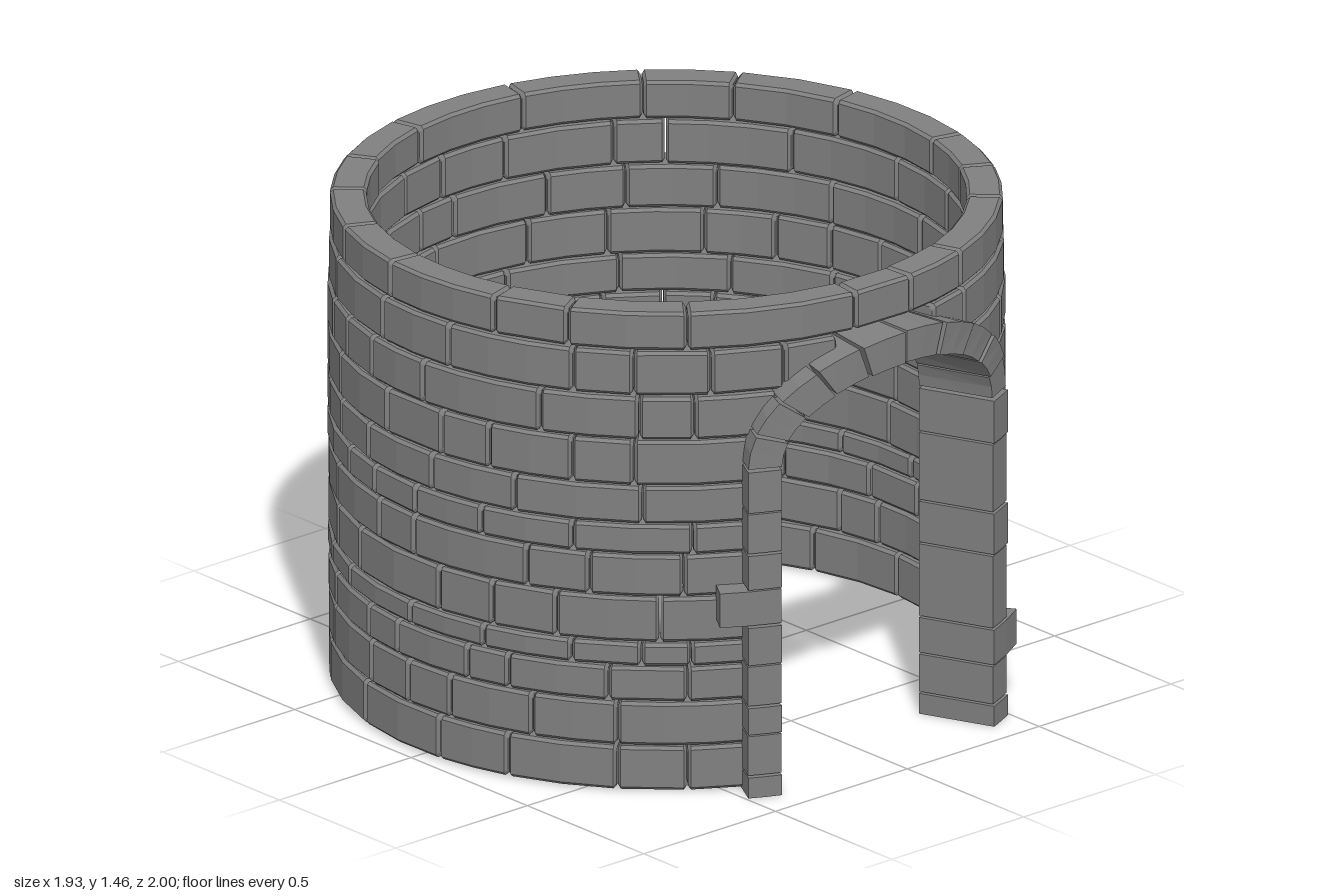
import * as THREE from 'three';
import { mergeGeometries } from 'three/addons/utils/BufferGeometryUtils.js';

const CENTER_Z = -0.035;          // axis of the round wall
const WALL_IN = 0.852, WALL_OUT = 0.965;
const DOOR_IN = 0.797, DOOR_OUT = 1.034;
const SPRING = 1.0;               // height where the arch begins
const OPEN_A = 0.4, FRAME_A = 0.496;   // half angles of opening and frame
const OPEN_H = 0.24, FRAME_H = 0.335;  // arch rise, inside and outside

// angle, height, radius -> point on the round wall
const polar = (a, y, r) => [r * Math.sin(a), y, r * Math.cos(a) + CENTER_Z];
const lerp = THREE.MathUtils.lerp;

function seeded(seed) {
  let s = seed;
  return () => (s = (s * 16807) % 2147483647) / 2147483647;
}

// Curved wall brick with chamfered edges, swept from angle a0 to a1
function wallBrick(a0, a1, y0, y1, r0, r1) {
  const b = 0.009, steps = Math.max(1, Math.round((a1 - a0) / 0.16));
  const section = (a, i) => {
    const [l, h, n, f] = [y0 + i, y1 - i, r0 + i, r1 - i];
    return [[h, n + b], [h, f - b], [h - b, f], [l + b, f], [l, f - b], [l, n + b], [l + b, n], [h - b, n]]
      .map(([y, r]) => polar(a, y, r));
  };
  const rings = [section(a0, b)];
  for (let k = 0; k <= steps; k++) rings.push(section(lerp(a0 + b, a1 - b, k / steps), 0));
  rings.push(section(a1, b));
  const pos = [];
  const tri = (...p) => p.forEach((v) => pos.push(...v));
  for (let k = 0; k < rings.length - 1; k++) {
    for (let i = 0; i < 8; i++) {
      const j = (i + 1) % 8, p = rings[k], q = rings[k + 1];
      tri(p[i], p[j], q[j]);
      tri(p[i], q[j], q[i]);
    }
  }
  const first = rings[0], last = rings[rings.length - 1];
  for (let i = 1; i < 7; i++) {
    tri(first[0], first[i + 1], first[i]);
    tri(last[0], last[i], last[i + 1]);
  }
  const g = new THREE.BufferGeometry();
  g.setAttribute('position', new THREE.Float32BufferAttribute(pos, 3));
  g.computeVertexNormals();
  return g;
}

// Box whose unit coordinates (0..1) are moved by a rule
function shapedBlock(rule) {
  const g = new THREE.BoxGeometry(1, 1, 1, 2, 1, 1).toNonIndexed();
  const p = g.attributes.position;
  for (let i = 0; i < p.count; i++) {
    p.setXYZ(i, ...rule(p.getX(i) + 0.5, p.getY(i) + 0.5, p.getZ(i) + 0.5));
  }
  g.computeVertexNormals();
  return g;
}

export function createModel() {
  const model = new THREE.Group();
  model.name = 'roundBrickTower';
  const stone = new THREE.MeshStandardMaterial({ color: 0x808080 });
  stone.name = 'grey stone';
  const add = (name, parts) => {
    const mesh = new THREE.Mesh(mergeGeometries(parts), stone);
    mesh.name = name;
    model.add(mesh);
  };

  // Wall courses: [bottom, top, half angle left open for the doorway]
  const courses = [
    [0.005, 0.137, 0.45], [0.142, 0.272, 0.45], [0.277, 0.38, 0.45], [0.385, 0.453, 0.45],
    [0.458, 0.593, 0.45], [0.598, 0.722, 0.45], [0.727, 0.815, 0.45], [0.82, 0.932, 0.45],
    [0.937, 1.072, 0.44], [1.077, 1.205, 0.388], [1.21, 1.342, 0.19], [1.347, 1.462, 0],
  ];
  const random = seeded(4711);
  courses.forEach(([y0, y1, open], c) => {
    const count = (y1 - y0 < 0.11 ? 21 : 19) - (c % 2);
    const widths = Array.from({ length: count }, () => 0.55 + random());
    const total = widths.reduce((s, w) => s + w, 0);
    const outer = c === courses.length - 1 ? 0.957 : WALL_OUT - 0.004 * random();
    const span = 2 * (Math.PI - open);
    let a = open || 0.09;
    const bricks = widths.map((w) => {
      const a0 = a;
      a += (w / total) * span;
      return wallBrick(a0 + 0.002, a - 0.002, y0, y1, WALL_IN + 0.008 * random(), outer);
    });
    add('wallCourse' + (c + 1), bricks);
  });

  // Door jambs: joint heights, and the index of the long brick tied into the wall
  const jambs = [
    { name: 'rightJamb', side: -1, long: 5, ys: [0, 0.068, 0.193, 0.28, 0.405, 0.525, 0.635, 0.745, 0.87, 1.0] },
    { name: 'leftJamb', side: 1, long: 2, ys: [0, 0.068, 0.188, 0.3, 0.525, 0.655, 0.865, 1.0] },
  ];
  for (const { name, side, long, ys } of jambs) {
    const blocks = ys.slice(0, -1).map((y, i) => {
      const far = i === long ? 0.575 : FRAME_A;
      const [a0, a1] = side > 0 ? [OPEN_A, far] : [-far, -OPEN_A];
      const inset = i % 2 ? 0.004 : 0;
      return shapedBlock((s, t, d) =>
        polar(lerp(a0, a1, s), lerp(y, ys[i + 1] - 0.006, t), lerp(DOOR_IN, DOOR_OUT - inset, d)));
    });
    add(name, blocks);
  }

  // Arch stones, five each side, bent around the wall
  const stones = 10, gap = 0.012, arch = [];
  for (let i = 0; i < stones; i++) {
    const t0 = Math.PI * (1 - i / stones) - gap, t1 = Math.PI * (1 - (i + 1) / stones) + gap;
    const inset = i % 2 ? 0.006 : 0;
    arch.push(shapedBlock((s, t, d) => {
      const angle = lerp(t0, t1, s);
      return polar(
        lerp(OPEN_A, FRAME_A, t) * Math.cos(angle),
        SPRING + lerp(OPEN_H, FRAME_H, t) * Math.sin(angle),
        lerp(DOOR_IN, DOOR_OUT - inset, d));
    }));
  }
  add('doorArch', arch);
  return model;
}
